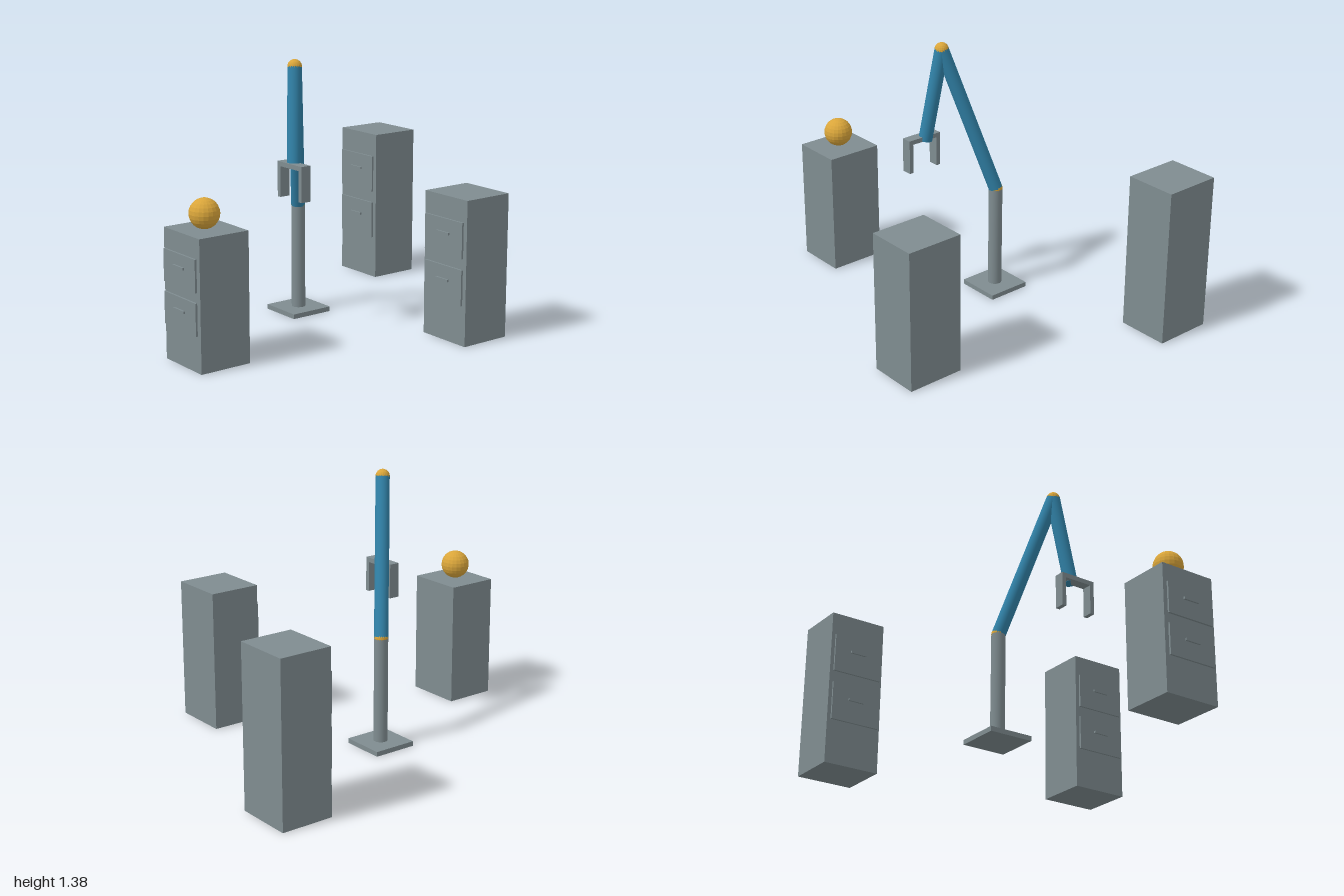
import * as THREE from 'three';

const material = (name, color) => {
  const m = new THREE.MeshStandardMaterial({ color });
  m.name = name;
  return m;
};

export function createModel() {
  const grey = material('grey metal', 0x7f8c90);
  const blue = material('blue arm', 0x3182a8);
  const amber = material('amber', 0xd9a53a);
  amber.flatShading = true;

  const model = new THREE.Group();
  model.name = 'robotArmWithCabinets';

  function add(parent, name, geometry, mat, x, y, z) {
    const mesh = new THREE.Mesh(geometry, mat);
    mesh.name = name;
    mesh.position.set(x, y, z);
    parent.add(mesh);
    return mesh;
  }
  const box = (parent, name, w, h, d, x, y, z) =>
    add(parent, name, new THREE.BoxGeometry(w, h, d), grey, x, y, z);
  const ball = (parent, name, r, p) =>
    add(parent, name, new THREE.SphereGeometry(r, 20, 12), amber, p.x, p.y, p.z);

  // Cylinder running between two points
  function rod(parent, name, a, b, r, mat) {
    const dir = b.clone().sub(a);
    const mid = a.clone().add(b).multiplyScalar(0.5);
    const mesh = add(parent, name, new THREE.CylinderGeometry(r, r, dir.length(), 32), mat, mid.x, mid.y, mid.z);
    mesh.quaternion.setFromUnitVectors(new THREE.Vector3(0, 1, 0), dir.normalize());
  }

  // Cabinet with two drawer fronts standing just off its face
  function cabinet(name, x, front, h) {
    const g = new THREE.Group();
    g.name = name;
    g.position.set(x, 0, front);
    box(g, 'body', 0.304, h, 0.275, 0, h / 2, -0.1375);
    for (const level of [0.405, 0.727]) {
      box(g, 'drawer', 0.27, h * 0.246, 0.01, 0, h * level, 0.011);
      box(g, 'drawerHandle', 0.088, 0.012, 0.011, 0, h * (level + 0.025), 0.0195);
    }
    model.add(g);
  }
  cabinet('backCabinet', -0.622, -0.725, 0.825);
  cabinet('frontCabinet', 0.167, 0.975, 0.652);
  cabinet('leftCabinet', 0.618, -0.27, 0.738);

  ball(model, 'ball', 0.075, new THREE.Vector3(0.167, 0.727, 0.845));

  // Robot arm: base, post, two links and their joints
  const arm = new THREE.Group();
  arm.name = 'robotArm';
  model.add(arm);
  const foot = new THREE.Vector3(-0.229, 0.025, 0.002);
  const shoulder = new THREE.Vector3(-0.229, 0.575, 0.002);
  const elbow = new THREE.Vector3(-0.016, 1.341, 0.179);
  const wrist = new THREE.Vector3(0.051, 0.85, 0.234);
  box(arm, 'basePlate', 0.235, 0.025, 0.235, -0.229, 0.0125, 0.002);
  rod(arm, 'post', foot, shoulder, 0.036, grey);
  rod(arm, 'upperArm', shoulder, elbow, 0.036, blue);
  rod(arm, 'forearm', elbow, wrist, 0.036, blue);
  ball(arm, 'shoulderJoint', 0.0365, shoulder);
  ball(arm, 'elbowJoint', 0.0365, elbow);

  // Gripper: crossbar with two fingers
  const gripper = new THREE.Group();
  gripper.name = 'gripper';
  gripper.position.set(0.066, 0, 0.247);
  arm.add(gripper);
  box(gripper, 'crossbar', 0.198, 0.024, 0.056, 0, 0.862, 0);
  for (const side of [-1, 1]) {
    box(gripper, 'finger', 0.023, 0.158, 0.056, side * 0.0875, 0.772, 0);
  }

  return model;
}
